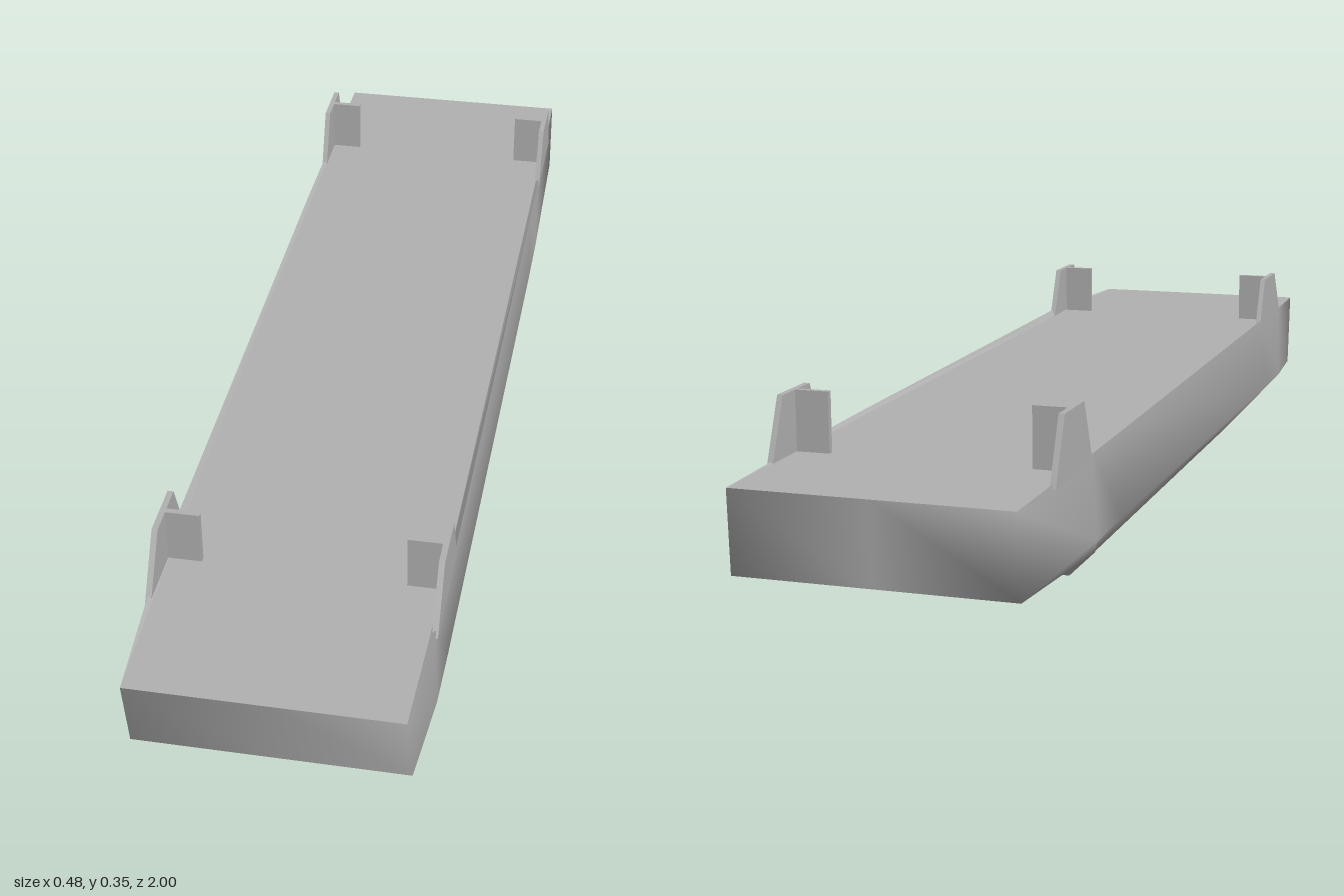
import * as THREE from 'three';
import { mergeVertices } from 'three/addons/utils/BufferGeometryUtils.js';

// Stations bow to stern: points [halfWidth, y, z] for gunwale, chine, keel edge and deck edge
const stations = [
  { top: [0.222, 0.257, 1.0], chine: [0.226, 0.112, 0.965], keel: [0.226, 0.112, 0.965], deck: [0.222, 0.257, 1.0] },
  { top: [0.234, 0.261, 0.8], chine: [0.239, 0.112, 0.8], keel: [0.239, 0.112, 0.8], deck: [0.226, 0.256, 0.8] },
  { top: [0.237, 0.267, 0.6], chine: [0.24, 0.112, 0.68], keel: [0.147, 0.008, 0.68], deck: [0.228, 0.256, 0.6] },
  { top: [0.237, 0.258, -0.49], chine: [0.24, 0.11, -0.49], keel: [0.147, 0, -0.49], deck: [0.23, 0.252, -0.49] },
  { top: [0.236, 0.256, -0.65], chine: [0.239, 0.108, -0.63], keel: [0.235, 0.088, -0.63], deck: [0.23, 0.251, -0.65] },
  { top: [0.23, 0.25, -1.0], chine: [0.232, 0.11, -0.99], keel: [0.232, 0.11, -0.99], deck: [0.23, 0.25, -1.0] },
];

const flip = ([x, y, z]) => [-x, y, z];
const centre = ([, y, z]) => [0, y, z];
const quad = (a, b, c, d) => [a, b, c, a, c, d];

// Triangle soup to geometry, with normals shared across joints when smooth
function surface(points, smooth) {
  let g = new THREE.BufferGeometry();
  g.setAttribute('position', new THREE.Float32BufferAttribute(points.flat(), 3));
  if (smooth) g = mergeVertices(g, 1e-4);
  g.computeVertexNormals();
  return g;
}

export function createModel() {
  const model = new THREE.Group();
  model.name = 'barge';
  const grey = new THREE.MeshStandardMaterial({ color: 0xb0b0b0, side: THREE.DoubleSide });
  grey.name = 'hull grey';

  const add = (name, geometry) => {
    const mesh = new THREE.Mesh(geometry, grey);
    mesh.name = name;
    model.add(mesh);
    return mesh;
  };

  const shell = [], ramp = [], deck = [];
  for (let i = 0; i < stations.length - 1; i++) {
    const s = stations[i], t = stations[i + 1];
    // sides and bilges
    shell.push(...quad(s.top, s.chine, t.chine, t.top));
    shell.push(...quad(flip(t.top), flip(t.chine), flip(s.chine), flip(s.top)));
    if (i > 0) {
      shell.push(...quad(s.chine, s.keel, t.keel, t.chine));
      shell.push(...quad(flip(t.chine), flip(t.keel), flip(s.keel), flip(s.chine)));
    }
    // bottom, with the bow overhang and ramp kept crisp
    (i < 2 ? ramp : shell).push(...quad(s.keel, flip(s.keel), flip(t.keel), t.keel));
    // deck and the low inner faces of the gunwales
    deck.push(...quad(flip(s.deck), s.deck, t.deck, flip(t.deck)));
    deck.push(...quad(s.deck, s.top, t.top, t.deck));
    deck.push(...quad(flip(s.top), flip(s.deck), flip(t.deck), flip(t.top)));
  }

  // bow and stern plates, each in two halves
  const bow = stations[0], stern = stations[stations.length - 1];
  shell.push(...quad(centre(bow.top), centre(bow.chine), bow.chine, bow.top));
  shell.push(...quad(centre(bow.chine), centre(bow.top), flip(bow.top), flip(bow.chine)));
  shell.push(...quad(stern.top, stern.chine, centre(stern.chine), centre(stern.top)));
  shell.push(...quad(centre(stern.top), centre(stern.chine), flip(stern.chine), flip(stern.top)));

  add('hull', surface(shell, true));
  add('bowRamp', surface(ramp, false));
  add('deck', surface(deck, false));

  // Four tapered side fins, each with a cross plate facing along the deck
  const fins = [
    { name: 'front', outline: [[0.8, 0.25], [0.735, 0.352], [0.635, 0.352], [0.59, 0.25]], plateZ: 0.685 },
    { name: 'rear', outline: [[-0.655, 0.245], [-0.7, 0.352], [-0.8, 0.352], [-0.845, 0.245]], plateZ: -0.75 },
  ];
  for (const { name, outline, plateZ } of fins) {
    const shape = new THREE.Shape(outline.map(([z, y]) => new THREE.Vector2(-z, y)));
    const finGeometry = new THREE.ExtrudeGeometry(shape, { depth: 0.01, bevelEnabled: false });
    finGeometry.rotateY(Math.PI / 2);
    const plateGeometry = new THREE.BoxGeometry(0.06, 0.102, 0.01);
    for (const side of [1, -1]) {
      const label = name + (side > 0 ? 'Left' : 'Right');
      add(label + 'Fin', finGeometry).position.x = side > 0 ? 0.228 : -0.238;
      add(label + 'Plate', plateGeometry).position.set(side * 0.201, 0.301, plateZ);
    }
  }
  return model;
}
